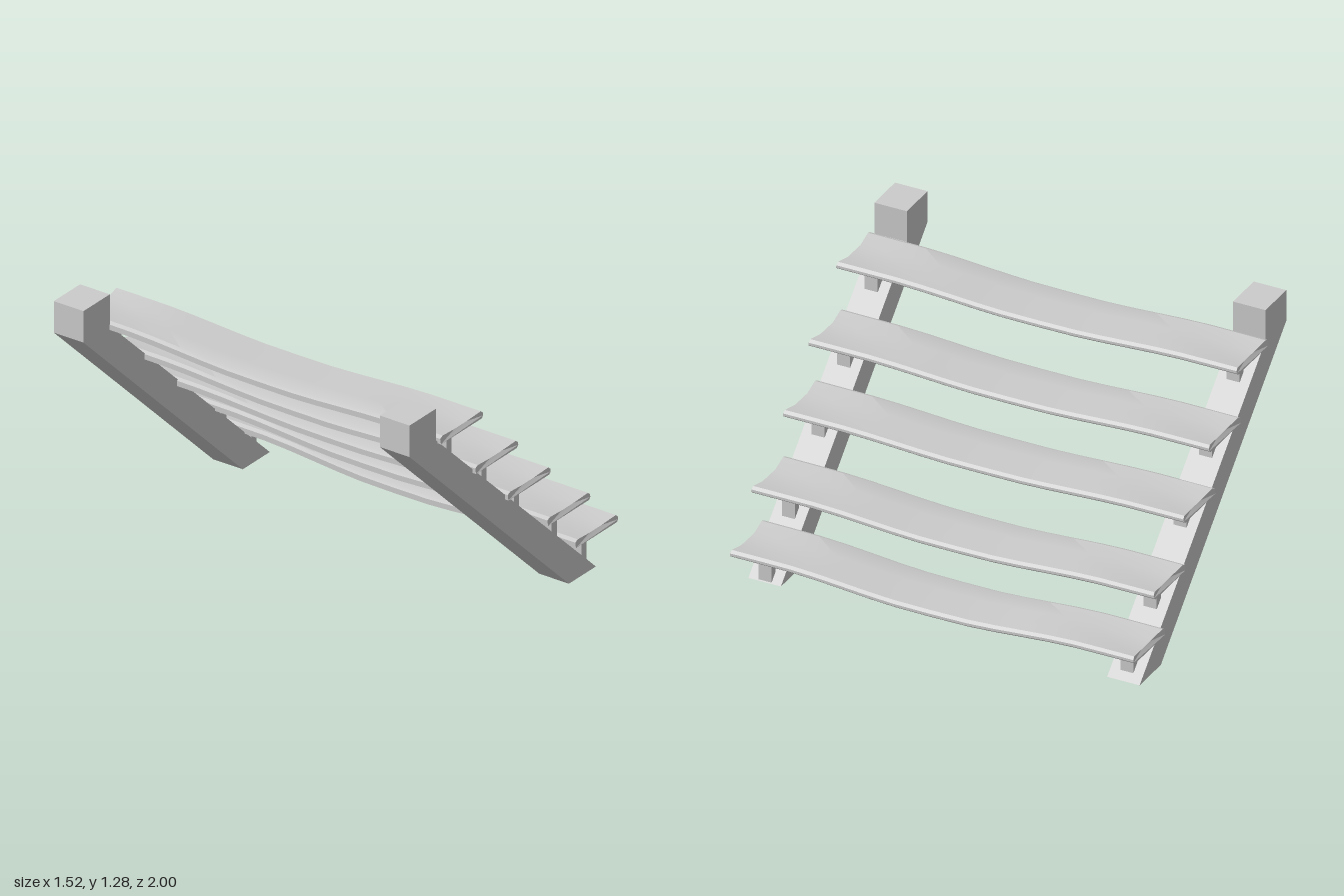
import * as THREE from 'three';
import { toCreasedNormals } from 'three/addons/utils/BufferGeometryUtils.js';

const material = new THREE.MeshStandardMaterial({ color: 0xcccccc });

// Slanted beam with an upright block at its top end
function makeStringer(shift, z) {
  const outline = [[0.42, 0], [0.62, 0], [-0.565, 1.125], [-0.565, 1.28], [-0.76, 1.28], [-0.76, 1.125]];
  const shape = new THREE.Shape(outline.map(([x, y]) => new THREE.Vector2(x + shift, y)));
  const geometry = new THREE.ExtrudeGeometry(shape, { depth: 0.16, bevelEnabled: false });
  geometry.translate(0, 0, z - 0.08);
  return new THREE.Mesh(geometry, material);
}

// Plank section across its width: flat underside, rounded nose, cupped top
function plankSection(cup) {
  return [
    [0, 0], [0.303, 0], [0.315, 0.01], [0.315, 0.022], [0.302, 0.034],
    [0.21, 0.034 - cup], [0.12, 0.034 - cup], [0.02, 0.034], [0, 0.026],
  ];
}

// Plank lofted along z, sagging in the middle
function makeTread({ x, y, sag, back, front }) {
  const stations = [back, -0.85, -0.7, -0.57, -0.44, -0.31, -0.18, 0, 0.18, 0.31, 0.44, 0.57, 0.7, 0.85, front];
  const positions = [];
  const indices = [];
  const n = plankSection(0).length;
  stations.forEach((z, s) => {
    const isEnd = s === 0 || s === stations.length - 1;
    const drop = sag * (1 - THREE.MathUtils.smoothstep(Math.abs(z), 0.1, 0.75));
    const cup = 0.014 * THREE.MathUtils.smoothstep(Math.abs(z), 0.5, 0.98);
    const skew = 0.01 * (1 - z);
    plankSection(cup).forEach(([px, py], i) => {
      // End faces lean inward toward the cupped top
      const lean = isEnd ? Math.sign(z) * (i === 5 || i === 6 ? 0.016 : py * 0.15) : 0;
      positions.push(x + px + skew * (1 - px / 0.315), y + py - drop, z - lean);
      if (s > 0) {
        const j = (i + 1) % n;
        const a = (s - 1) * n + i, b = (s - 1) * n + j, c = s * n + j, d = s * n + i;
        indices.push(a, b, c, a, c, d);
      }
    });
  });
  // End caps
  const contour = plankSection(0.014).map(([px, py]) => new THREE.Vector2(px, py));
  const last = (stations.length - 1) * n;
  for (const [a, b, c] of THREE.ShapeUtils.triangulateShape(contour, [])) {
    indices.push(last + a, last + b, last + c, a, c, b);
  }
  const geometry = new THREE.BufferGeometry();
  geometry.setAttribute('position', new THREE.Float32BufferAttribute(positions, 3));
  geometry.setIndex(indices);
  return new THREE.Mesh(toCreasedNormals(geometry, 0.4), material);
}

export function createModel() {
  const group = new THREE.Group();
  group.name = 'openStaircase';

  const sides = [
    { name: 'frontStringer', shift: 0, z: 0.89 },
    { name: 'backStringer', shift: 0.03, z: -0.89 },
  ];
  for (const { name, shift, z } of sides) {
    const stringer = makeStringer(shift, z);
    stringer.name = name;
    group.add(stringer);
  }

  const treads = [
    { x: -0.555, y: 1.106, sag: 0.028, back: -0.985, front: 0.99 },
    { x: -0.295, y: 0.85, sag: 0.026, back: -0.985, front: 0.99 },
    { x: -0.055, y: 0.617, sag: 0.024, back: -0.985, front: 0.99 },
    { x: 0.225, y: 0.376, sag: 0.032, back: -0.985, front: 1 },
    { x: 0.445, y: 0.17, sag: 0.038, back: -1, front: 0.99 },
  ];
  treads.forEach((spec, i) => {
    const step = new THREE.Group();
    step.name = `step${i + 1}`;
    const tread = makeTread(spec);
    tread.name = 'tread';
    step.add(tread);

    // Short posts carrying the tread, sunk into each stringer
    for (const { shift, z } of sides) {
      const px = spec.x + 0.153;
      const foot = Math.max(0.005, (0.62 + shift - px) * 0.949 - 0.05);
      const top = spec.y + 0.008;
      const post = new THREE.Mesh(new THREE.BoxGeometry(0.038, top - foot, 0.064), material);
      post.position.set(px, (top + foot) / 2, z);
      post.name = 'post';
      step.add(post);
    }
    group.add(step);
  });
  return group;
}
